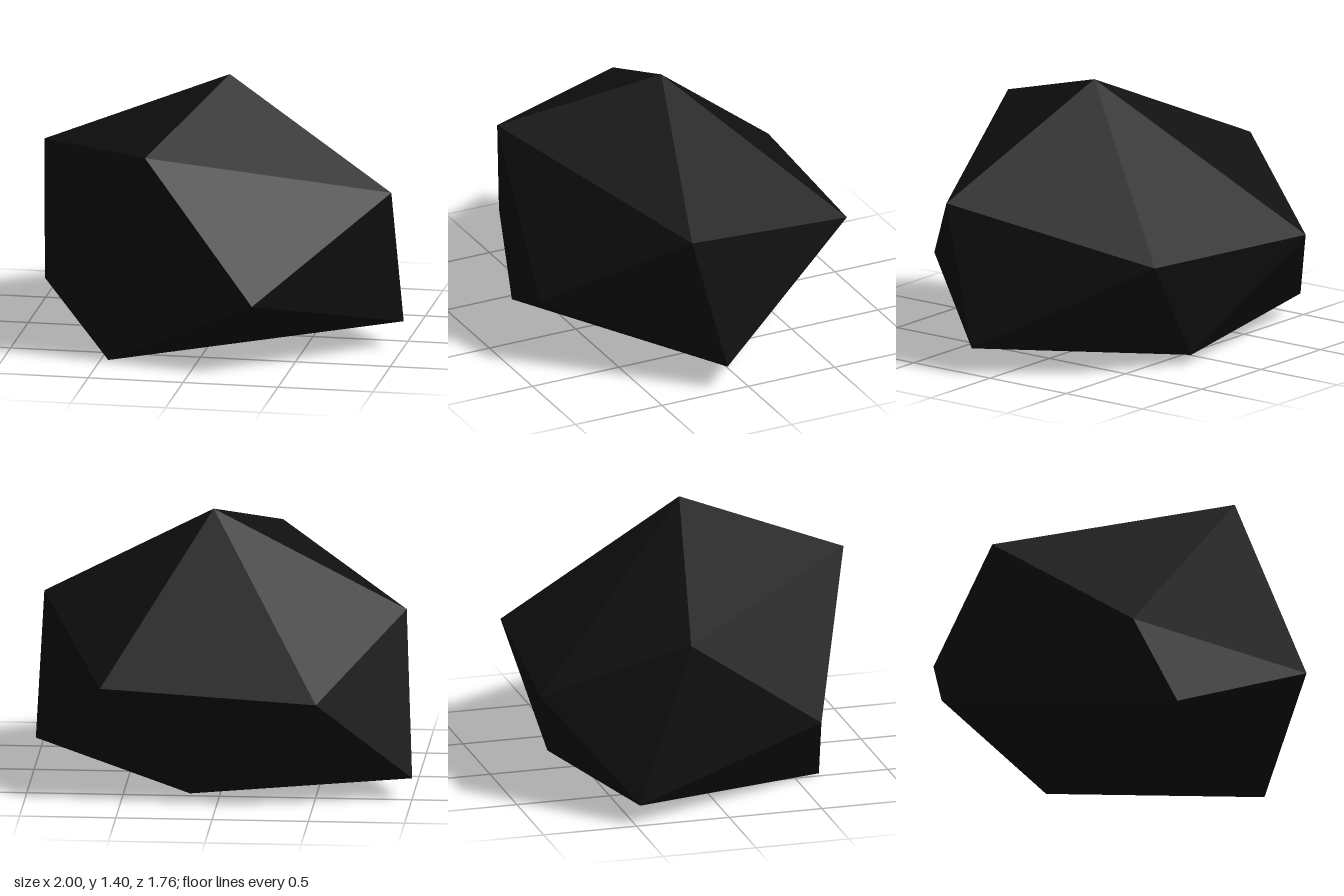
import * as THREE from 'three';

// A rough, low-poly boulder: a twisted icosahedron with uneven corners.
export function createModel() {
  const coal = new THREE.MeshStandardMaterial({ color: 0x101010 });
  coal.name = 'coal black';

  // Peak, upper ring, lower ring and base corner; both rings run from +x towards +z
  const peak = [0.07, 1.4, 0.04];
  const upper = [
    [0.97, 0.88, 0.31], [-0.23, 1.15, 0.84], [-0.95, 0.94, -0.19],
    [-0.53, 0.59, -0.88], [0.6, 0.63, -0.77],
  ];
  const lower = [
    [0.34, 0.39, 0.88], [-0.75, 0.38, 0.57], [-1, 0.11, -0.48],
    [0.14, 0.05, -0.65], [1, 0.14, 0.12],
  ];
  const base = [-0.46, 0, 0.64];

  // Cap, zigzag belt and underside, one wedge at a time
  const corners = [];
  for (let i = 0; i < 5; i++) {
    const j = (i + 1) % 5;
    corners.push(
      peak, upper[j], upper[i],
      upper[i], upper[j], lower[i],
      lower[i], upper[j], lower[j],
      base, lower[i], lower[j],
    );
  }

  // Unshared corners give each facet its own flat normal
  const geometry = new THREE.BufferGeometry();
  geometry.setAttribute('position', new THREE.Float32BufferAttribute(corners.flat(), 3));
  geometry.computeVertexNormals();

  const rock = new THREE.Mesh(geometry, coal);
  rock.name = 'rock';

  const group = new THREE.Group();
  group.name = 'boulder';
  group.add(rock);
  return group;
}
